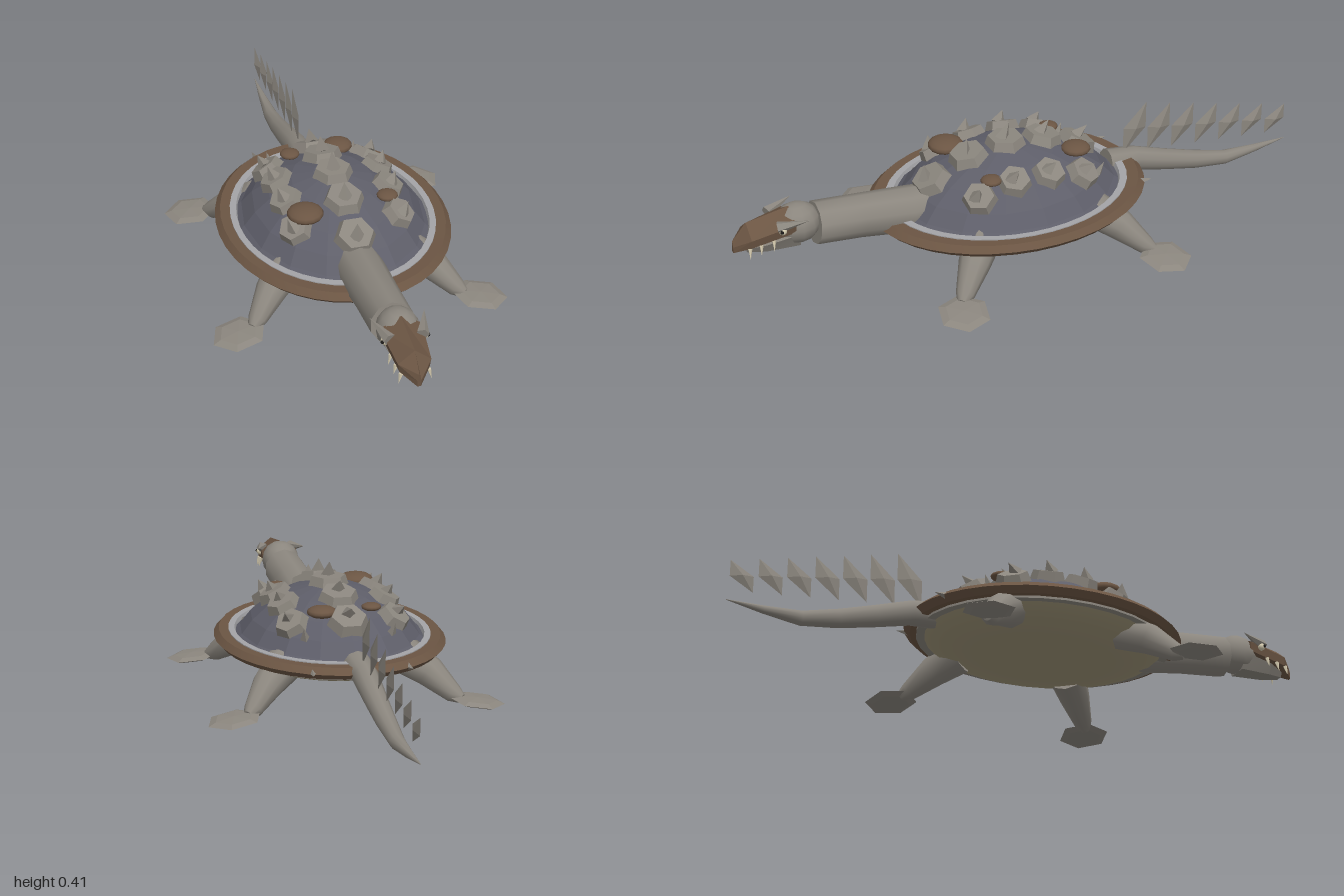
import * as THREE from 'three';
import { toCreasedNormals } from 'three/addons/utils/BufferGeometryUtils.js';

const V = (x, y, z) => new THREE.Vector3(x, y, z);
const UP = V(0, 1, 0);
const mat = (name, color) => new THREE.MeshStandardMaterial({ name, color });

// Shell plan: lathe profiles stretched along z around this centre
const CZ = 0.065, STRETCH = 1.247;
const DOME = [[0.315, 0.16], [0.29, 0.18], [0.255, 0.225], [0.205, 0.268], [0.13, 0.308], [0.06, 0.328], [0, 0.333]];

// Height of the dome at a point of the plan
function domeY(x, z) {
  const r = Math.hypot(x, (z - CZ) / STRETCH);
  for (let i = 0; i < DOME.length - 1; i++) {
    const [r0, y0] = DOME[i], [r1, y1] = DOME[i + 1];
    if (r <= r0 && r >= r1) return y0 + (y1 - y0) * (r0 - r) / (r0 - r1);
  }
  return 0.16;
}

// Closed skin over a row of cross-sections, each running anticlockwise about the path
function skin(rings, crease) {
  const pos = [];
  const tri = (...p) => p.forEach(q => pos.push(q.x, q.y, q.z));
  const n = rings[0].length;
  const mid = r => r.reduce((s, p) => s.add(p), V(0, 0, 0)).divideScalar(n);
  const first = rings[0], last = rings[rings.length - 1];
  const c0 = mid(first), c1 = mid(last);
  for (let j = 0; j < n; j++) {
    const k = (j + 1) % n;
    tri(c0, first[k], first[j]);
    tri(c1, last[j], last[k]);
    for (let i = 0; i < rings.length - 1; i++) {
      const a = rings[i], b = rings[i + 1];
      tri(a[j], a[k], b[j]);
      tri(a[k], b[k], b[j]);
    }
  }
  const g = new THREE.BufferGeometry();
  g.setAttribute('position', new THREE.Float32BufferAttribute(pos, 3));
  return toCreasedNormals(g, crease);
}

// Round limb through points given as [x, y, z, radius]
function limb(points, sides = 10) {
  const rings = points.map((p, i) => {
    const a = points[Math.max(i - 1, 0)], b = points[Math.min(i + 1, points.length - 1)];
    const t = V(b[0] - a[0], b[1] - a[1], b[2] - a[2]).normalize();
    const u = UP.clone().cross(t).normalize(), v = t.clone().cross(u);
    return Array.from({ length: sides }, (_, j) => {
      const w = (j + 0.5) / sides * Math.PI * 2;
      return V(p[0], p[1], p[2]).addScaledVector(u, Math.cos(w) * p[3]).addScaledVector(v, Math.sin(w) * p[3]);
    });
  });
  return skin(rings, 0.8);
}

function flat(g) {
  const f = g.index ? g.toNonIndexed() : g;
  f.computeVertexNormals();
  return f;
}

function lathe(profile, segments) {
  const g = new THREE.LatheGeometry(profile.map(p => new THREE.Vector2(...p)), segments);
  return g.scale(1, 1, STRETCH).translate(0, 0, CZ);
}

// Cone standing on a base point and aimed along a direction
function aimedCone(base, dir, radius, height, sides) {
  const g = new THREE.ConeGeometry(radius, height, sides).translate(0, height / 2, 0);
  g.applyQuaternion(new THREE.Quaternion().setFromUnitVectors(UP, dir.clone().normalize()));
  return flat(g.translate(base.x, base.y, base.z));
}

export function createModel() {
  const skinGrey = mat('grey skin', 0x8b867e);
  const slate = mat('slate shell', 0x5e5e69);
  const brown = mat('brown hide', 0x6b5543);
  const tan = mat('tan belly', 0x9d9376);
  const pale = mat('pale edge', 0xa3a3a6);
  const ivory = mat('ivory', 0xd6ccb0);
  const dark = mat('dark pupil', 0x1c1a18);

  const model = new THREE.Group();
  const add = (name, geometry, material, parent = model) => {
    const m = new THREE.Mesh(geometry, material);
    m.name = name;
    parent.add(m);
    return m;
  };

  // Shell, rim and belly
  add('shellDome', flat(lathe(DOME, 16)), slate);
  add('shellEdge', toCreasedNormals(lathe([[0.325, 0.15], [0.325, 0.181], [0.305, 0.181], [0.3, 0.165]], 40), 0.6), pale);
  add('shellRim', toCreasedNormals(lathe([[0.325, 0.14], [0.356, 0.141], [0.373, 0.16], [0.356, 0.179],
    [0.325, 0.178], [0.318, 0.16], [0.325, 0.14]], 40), 0.6), brown);
  add('underEdge', toCreasedNormals(lathe([[0.3, 0.133], [0.34, 0.133], [0.34, 0.146], [0.3, 0.146]], 32), 0.6), skinGrey);
  add('belly', toCreasedNormals(lathe([[0, 0.085], [0.18, 0.087], [0.25, 0.097], [0.3, 0.115], [0.325, 0.14], [0, 0.15]], 32), 0.6), tan);

  // Hexagonal plates, each with a spike leaning back
  const onShell = (name, x, z) => {
    const e = 0.03;
    const n = V(domeY(x - e, z) - domeY(x + e, z), 2 * e, domeY(x, z - e) - domeY(x, z + e)).normalize();
    const g = new THREE.Group();
    g.name = name;
    g.position.set(x, domeY(x, z), z);
    g.quaternion.setFromUnitVectors(UP, n);
    model.add(g);
    return g;
  };
  const plate = (x, z, r, spike) => {
    const g = onShell('shellPlate', x, z);
    add('plate', flat(new THREE.CylinderGeometry(r * 0.8, r, 0.04, 6).rotateY(Math.PI / 6)), skinGrey, g).position.y = 0.006;
    add('plateSpike', aimedCone(V(0, 0.02, 0.012), V(0, 1, -0.5), 0.026, spike, 4), skinGrey, g);
  };
  [-0.185, -0.06, 0.07, 0.2, 0.33].forEach((z, i) => plate(0, z, 0.07, i === 2 ? 0.06 : 0.052));
  for (const s of [-1, 1]) {
    [-0.12, 0, 0.12, 0.24].forEach(z => plate(s * 0.165, z, 0.06, 0.045));
    // Small spikes at the back of the shell
    add('rearSpike', aimedCone(V(s * 0.14, domeY(0.14, -0.2), -0.19), V(s * 0.2, 1, -0.5), 0.016, 0.045, 4), skinGrey);
    add('rimSpike', aimedCone(V(s * 0.15, 0.16, -0.33), V(s * 0.15, 0.05, -1), 0.016, 0.055, 4), skinGrey);
  }

  // Brown mounds on the shell
  for (const [x, z, r] of [[0.075, -0.145, 0.048], [-0.09, -0.13, 0.032], [-0.13, 0.22, 0.058], [0.145, 0.19, 0.034]]) {
    const m = add('shellMound', new THREE.SphereGeometry(r, 14, 8).scale(1, 0.4, 1), brown);
    m.position.set(x, domeY(x, z) + 0.018, z);
  }

  // Neck and tail
  add('neck', limb([[0, 0.175, 0.3, 0.07], [0, 0.182, 0.42, 0.075], [0, 0.203, 0.58, 0.07], [0, 0.218, 0.73, 0.069]]), skinGrey);
  add('tail', limb([[0, 0.165, -0.3, 0.045], [0, 0.155, -0.4, 0.041], [0, 0.12, -0.52, 0.036], [0, 0.088, -0.64, 0.031],
    [0, 0.065, -0.76, 0.024], [0, 0.07, -0.88, 0.013], [0, 0.08, -1, 0.001]]), skinGrey);

  // Row of slanted diamond fins above the tail
  for (let i = 0; i < 7; i++) {
    const k = i / 6, z = -0.405 - 0.55 * k, y = 0.268 - 0.101 * k, w = 0.042 - 0.004 * k;
    const hi = 0.086 - 0.038 * k, lo = 0.006;
    const ring = [[-hi, w], [lo, w], [hi, -w], [-lo, -w]];
    const g = skin([-1, 0, 1].map(q => ring.map(([dy, dz]) => {
      const f = q ? 0.02 : 1;
      return V(q * 0.011, y + dy * f, z + dz * f);
    })), 0.1);
    add('tailFin', g, skinGrey).material.side = THREE.DoubleSide;
  }

  // Legs with flat six-sided feet
  for (const s of [-1, 1]) for (const [name, d] of [['front', 1], ['back', -1]]) {
    const zc = d > 0 ? 0.05 : -0.05 + 0.1;
    const P = (x, y, z, r) => [s * x, y, zc + d * z, r];
    add(name + 'Leg', limb([P(0.2, 0.135, 0.2, 0.062), P(0.265, 0.092, 0.26, 0.05), P(0.325, 0.034, 0.32, 0.03), P(0.345, 0.022, 0.34, 0.016)]), skinGrey);
    const foot = add(name + 'Foot', flat(new THREE.SphereGeometry(1, 6, 4).scale(0.088, 0.012, 0.084)), skinGrey);
    foot.position.set(s * 0.392, 0.017, zc + d * 0.355);
    foot.rotation.set(0, -s * d * 0.25, -s * 0.12);
  }

  // Head: skull, brown snout and grey lower jaw
  const head = new THREE.Group();
  head.name = 'head';
  model.add(head);
  add('skull', new THREE.SphereGeometry(1, 12, 8).scale(0.066, 0.066, 0.075).translate(0, 0.236, 0.785), skinGrey, head);
  const snout = (z, w, low, side, ridge) => [V(w * 0.9, low, z), V(w, side, z), V(0, ridge, z), V(-w, side, z), V(-w * 0.9, low, z)];
  add('snout', skin([snout(0.81, 0.064, 0.235, 0.265, 0.3), snout(0.95, 0.05, 0.21, 0.238, 0.278),
    snout(0.997, 0.006, 0.185, 0.205, 0.225)], 0.1), brown, head);
  const jaw = (z, w, low, top) => [V(w * 0.6, low, z), V(w, top, z), V(-w, top, z), V(-w * 0.6, low, z)];
  add('lowerJaw', skin([jaw(0.79, 0.058, 0.172, 0.225), jaw(0.9, 0.045, 0.175, 0.208), jaw(0.955, 0.02, 0.18, 0.195)], 0.1), skinGrey, head);
  for (const s of [-1, 1]) {
    add('browHorn', aimedCone(V(s * 0.05, 0.264, 0.865), V(s * 0.36, 0.2, -1), 0.02, 0.1, 5), skinGrey, head);
    add('eye', new THREE.SphereGeometry(0.013, 10, 8).translate(s * 0.06, 0.254, 0.853), ivory, head);
    add('pupil', new THREE.SphereGeometry(0.006, 8, 6).translate(s * 0.069, 0.255, 0.859), dark, head);
    [0.88, 0.92, 0.955].forEach((z, i) =>
      add('tooth', aimedCone(V(s * (0.05 - i * 0.004), 0.222 - i * 0.007, z), V(s * 0.25, -1, 0.1), 0.007, 0.035, 5), ivory, head));
  }
  return model;
}
